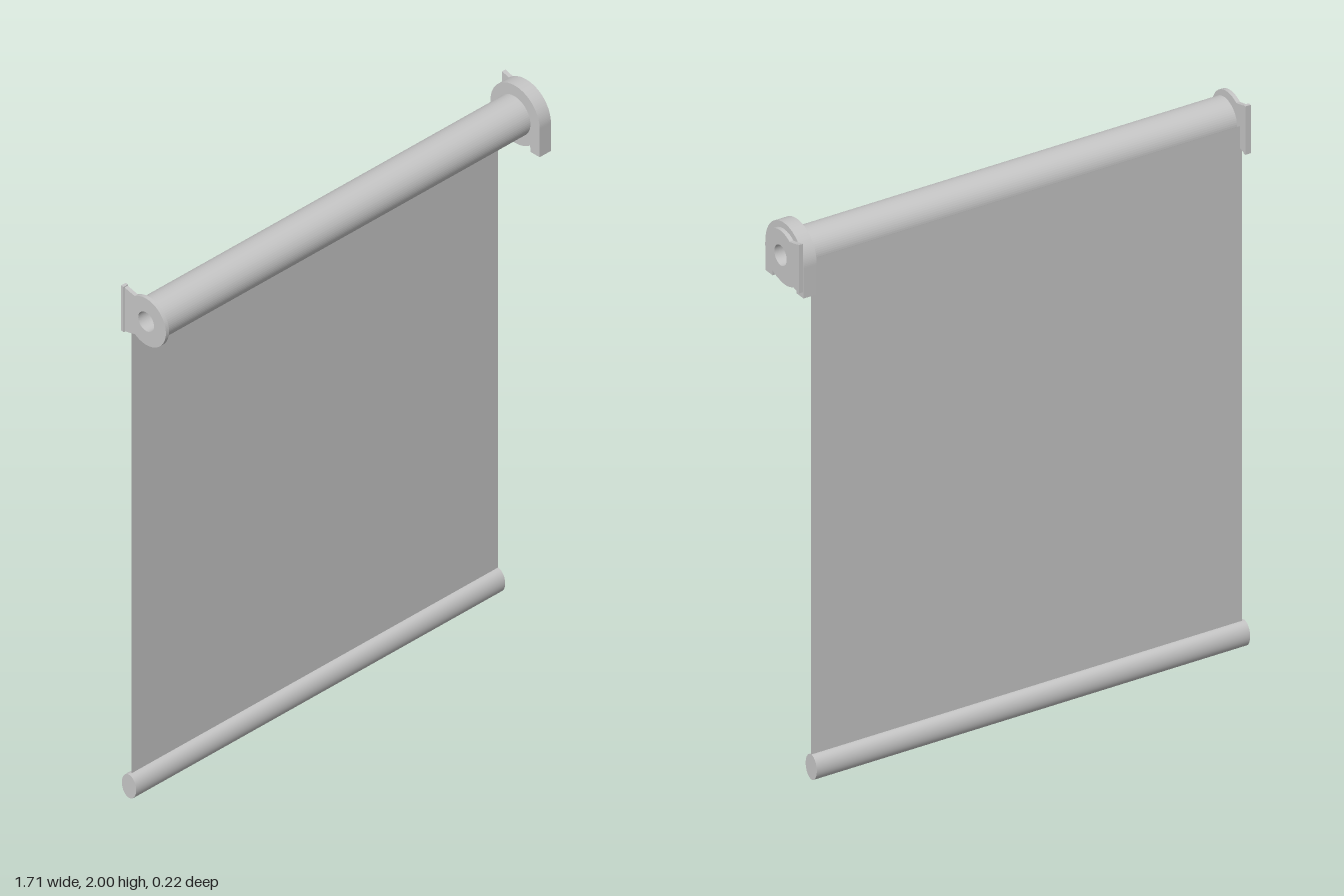
import * as THREE from 'three';

const AXIS_Y = 1.89, BORE = 0.036, HANG_Z = -0.075;
const grey = new THREE.MeshStandardMaterial({ color: 0xc6c6c6 });
grey.name = 'light grey';
const cloth = new THREE.MeshStandardMaterial({ color: 0xc4c4c4, side: THREE.DoubleSide });
cloth.name = 'cloth grey';

function add(group, name, geometry, material, x, y, z) {
  const mesh = new THREE.Mesh(geometry, material);
  mesh.name = name;
  mesh.position.set(x, y, z);
  group.add(mesh);
  return mesh;
}

// Extrudes a side profile (first axis towards the back, second up) along +x
function sideExtrude(shape, width) {
  return new THREE.ExtrudeGeometry(shape, { depth: width, bevelEnabled: false, curveSegments: 32 })
    .rotateY(Math.PI / 2);
}

function bore(shape) {
  shape.holes.push(new THREE.Path().absarc(0, 0, BORE, 0, Math.PI * 2, true));
  return shape;
}

// Hollow cylinder along x, with flat ends and sharp rims
function hollowTube(radius, length) {
  const ring = new THREE.Shape().absarc(0, 0, radius, 0, Math.PI * 2, false);
  return sideExtrude(bore(ring), length);
}

// Round plate flaring to a straight mounting edge at the back
function plateShape() {
  const a = 0.96, r = 0.09;
  const s = new THREE.Shape();
  s.absarc(0, 0, r, a, Math.PI * 2 - a, false);
  s.quadraticCurveTo(0.075, -0.083, 0.11, -0.088);
  s.lineTo(0.11, 0.088);
  s.quadraticCurveTo(0.075, 0.077, r * Math.cos(a), r * Math.sin(a));
  return bore(s);
}

// Arched housing standing on two feet, with a round belly between them
function housingShape() {
  const r = 0.112, foot = 0.07, a = Math.acos(foot / r);
  const s = new THREE.Shape();
  s.absarc(0, 0, r, 0, Math.PI, false);
  s.lineTo(-r, -0.11);
  s.lineTo(-foot, -0.11);
  s.absarc(0, 0, r - 0.002, Math.PI + a, Math.PI * 2 - a, false);
  s.lineTo(foot, -0.11);
  s.lineTo(r, -0.11);
  return bore(s);
}

export function createModel() {
  const model = new THREE.Group();
  model.name = 'rollerBlind';

  // Roller and the spindle it turns on
  add(model, 'rollerTube', hollowTube(0.073, 1.613), grey, -0.828, AXIS_Y, 0);
  add(model, 'spindle', hollowTube(0.04, 1.65), grey, -0.845, AXIS_Y, 0);

  // Hanging cloth
  add(model, 'cloth', new THREE.PlaneGeometry(1.63, 1.82), cloth, -0.03, 0.98, HANG_Z);

  // Oval weight bar in the hem
  const bar = new THREE.CylinderGeometry(0.045, 0.045, 1.64, 40).rotateZ(Math.PI / 2).scale(1, 1, 0.73);
  add(model, 'bottomBar', bar, grey, -0.035, 0.045, HANG_Z);

  // Plain bracket with a thicker mounting edge
  const plain = new THREE.Group();
  plain.name = 'plainBracket';
  add(plain, 'plate', sideExtrude(plateShape(), 0.014), grey, -0.852, AXIS_Y, 0);
  add(plain, 'mountingEdge', new THREE.BoxGeometry(0.02, 0.176, 0.012), grey, -0.846, AXIS_Y, -0.104);
  model.add(plain);

  // Drive bracket: arched housing plus outer plate
  const drive = new THREE.Group();
  drive.name = 'driveBracket';
  add(drive, 'housing', sideExtrude(housingShape(), 0.05), grey, 0.788, AXIS_Y, 0);
  add(drive, 'plate', sideExtrude(plateShape(), 0.015), grey, 0.838, AXIS_Y, 0);
  model.add(drive);

  return model;
}
